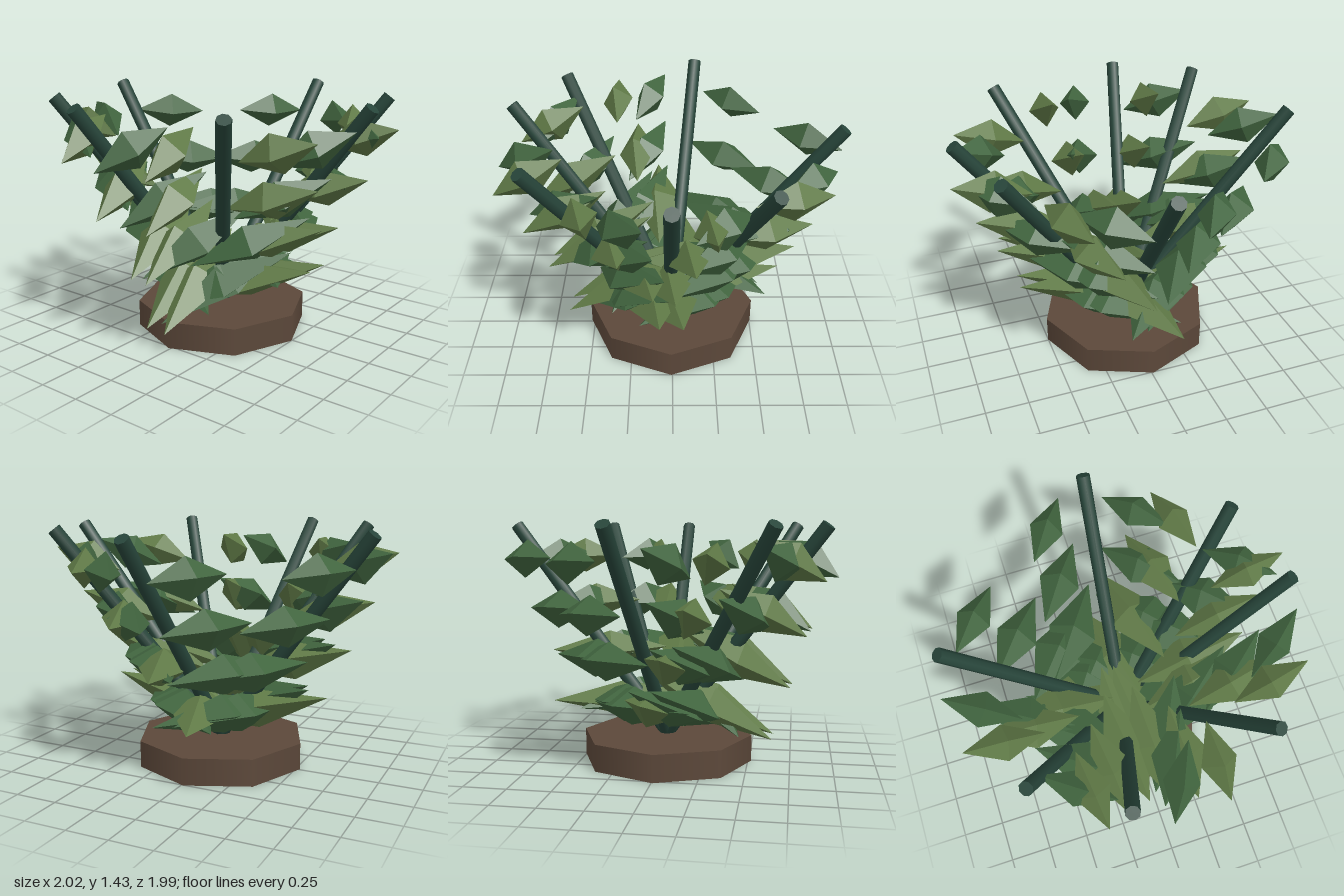
import * as THREE from 'three';

const paint = (color, flatShading) => {
  const m = new THREE.MeshStandardMaterial({ flatShading });
  m.color.setHex(color);
  return m;
};

export function createModel() {
  const group = new THREE.Group();
  group.name = 'shrub';
  const soilMat = paint(0x5c483a, false);
  const stemMat = paint(0x27453a, false);
  const darkLeaf = paint(0x41653f, true);
  const lightLeaf = paint(0x607a47, true);

  // the stems meet here, on top of the base
  const cx = -0.012, cz = 0.007;
  const baseTop = 0.16;
  const spread = 0.96;
  const rise = 1.25;

  // eight-sided root base
  const base = new THREE.Mesh(new THREE.CylinderGeometry(0.513, 0.513, baseTop, 8), soilMat);
  base.name = 'base';
  base.position.set(cx, baseTop / 2, cz);
  group.add(base);

  const stemLength = Math.hypot(spread, rise);
  const stemGeo = new THREE.CylinderGeometry(0.04, 0.042, stemLength, 8);
  const leafGeo = new THREE.OctahedronGeometry(1);
  const up = new THREE.Vector3(0, 1, 0);

  // heading of each stem in degrees, and whether its leaves are light
  const stems = [[0, 0], [52.5, 1], [105, 0], [137, 1], [189.4, 0], [275, 0], [327.6, 1]];
  // leaf tiers: height, distance out, sideways offset, half length, half width
  const tiers = [
    [0.36, 0.154, 0.21, 0.44, 0.18],
    [0.64, 0.368, 0.235, 0.36, 0.15],
    [0.925, 0.585, 0.25, 0.28, 0.122],
    [1.215, 0.783, 0.262, 0.224, 0.098],
  ];
  const leafHalfHeight = 0.113;

  stems.forEach(([deg, light]) => {
    const a = THREE.MathUtils.degToRad(deg);
    const c = Math.cos(a), s = Math.sin(a);

    const branch = new THREE.Group();
    branch.name = 'branch';
    branch.position.set(cx, baseTop, cz);
    group.add(branch);

    // leaning stem
    const tip = new THREE.Vector3(spread * c, rise, spread * s);
    const stem = new THREE.Mesh(stemGeo, stemMat);
    stem.name = 'stem';
    stem.position.copy(tip).multiplyScalar(0.5);
    stem.quaternion.setFromUnitVectors(up, tip.clone().normalize());
    branch.add(stem);

    // a pair of faceted leaves on each tier, one on either side
    tiers.forEach(([y, out, off, len, width]) => {
      for (const side of [-1, 1]) {
        const leaf = new THREE.Mesh(leafGeo, light ? lightLeaf : darkLeaf);
        leaf.name = 'leaf';
        leaf.position.set(out * c - side * off * s, y - baseTop, out * s + side * off * c);
        leaf.rotation.set(0.25, a + side * 0.7, 0.25);
        leaf.scale.set(len, leafHalfHeight, width);
        branch.add(leaf);
      }
    });
  });

  return group;
}
